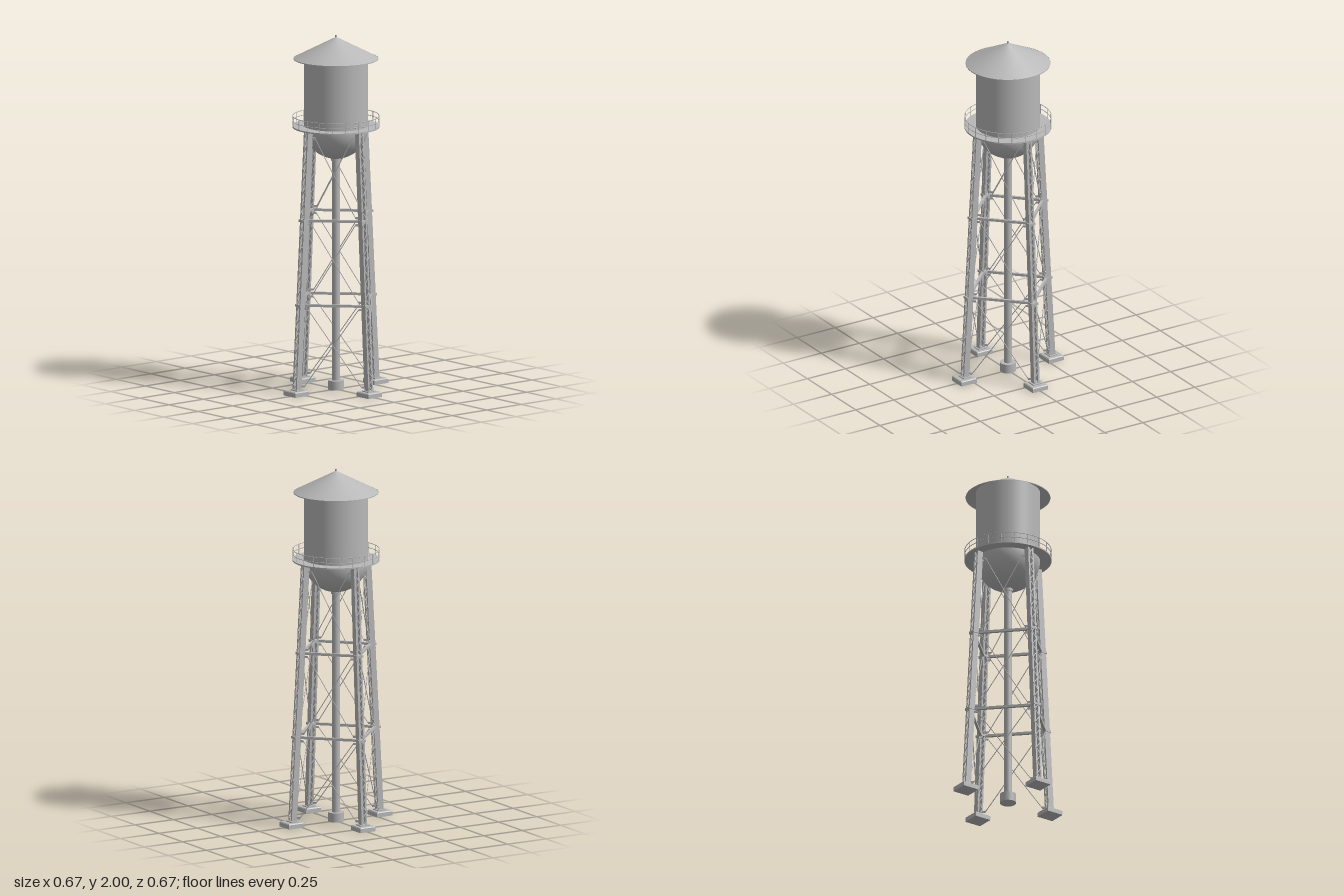
import * as THREE from 'three';
import { mergeGeometries } from 'three/addons/utils/BufferGeometryUtils.js';

const V = (x, y, z) => new THREE.Vector3(x, y, z);
const UP = V(0, 1, 0);
const LEG_FOOT = V(0.283, 0.025, 0), LEG_TOP = V(0.2, 1.48, 0);

// Centre of a leg at height y, on quarter q of the tower
function legPoint(y, q) {
  const t = (y - LEG_FOOT.y) / (LEG_TOP.y - LEG_FOOT.y);
  return LEG_FOOT.clone().lerp(LEG_TOP, t).setY(y).applyAxisAngle(UP, q * Math.PI / 2);
}

// Moves a y-aligned geometry so that it spans a to b
function span(geo, a, b) {
  const dir = b.clone().sub(a).normalize();
  geo.applyQuaternion(new THREE.Quaternion().setFromUnitVectors(UP, dir));
  const mid = a.clone().add(b).multiplyScalar(0.5);
  return geo.translate(mid.x, mid.y, mid.z);
}
const rod = (a, b, r, sides = 6) => span(new THREE.CylinderGeometry(r, r, a.distanceTo(b), sides), a, b);

// Horizontal beam with its sides kept upright
function beam(a, b, height, depth) {
  const d = b.clone().sub(a), mid = a.clone().add(b).multiplyScalar(0.5);
  return new THREE.BoxGeometry(d.length(), height, depth)
    .rotateY(Math.atan2(-d.z, d.x)).translate(mid.x, mid.y, mid.z);
}

export function createModel() {
  const model = new THREE.Group();
  model.name = 'waterTower';
  const steel = new THREE.MeshStandardMaterial({ color: 0xb8b8b8, side: THREE.DoubleSide });
  steel.name = 'grey steel';
  const add = (name, geo, parent = model) => {
    const mesh = new THREE.Mesh(geo, steel);
    mesh.name = name;
    parent.add(mesh);
    return mesh;
  };

  // Tank: round bowl running into a straight wall
  const R = 0.178, bowlY = 1.482;
  const tank = [];
  for (let i = 0; i <= 14; i++) {
    const a = i / 14 * Math.PI / 2;
    tank.push(new THREE.Vector2(Math.sin(a) * R, bowlY - Math.cos(a) * R));
  }
  tank.push(new THREE.Vector2(R, 1.6), new THREE.Vector2(R, 1.896));
  add('tank', new THREE.LatheGeometry(tank, 64));

  // Hollow conical roof with a thin rim and a small finial
  add('roof', new THREE.CylinderGeometry(0.003, 0.235, 0.12, 64, 1, true).translate(0, 1.929, 0));
  add('roofRim', new THREE.CylinderGeometry(0.235, 0.235, 0.005, 64, 1, true).translate(0, 1.8675, 0));
  add('finial', new THREE.CylinderGeometry(0.005, 0.005, 0.018, 12).translate(0, 1.991, 0));

  // Walkway ring
  const ring = new THREE.Shape().absarc(0, 0, 0.242, 0, Math.PI * 2);
  ring.holes.push(new THREE.Path().absarc(0, 0, R - 0.002, 0, Math.PI * 2, true));
  add('walkway', new THREE.ExtrudeGeometry(ring, { depth: 0.008, bevelEnabled: false, curveSegments: 48 })
    .rotateX(-Math.PI / 2).translate(0, 1.481, 0));

  // Handrail hoops and posts
  const rails = [1.517, 1.545].map(y =>
    new THREE.TorusGeometry(0.24, 0.002, 6, 64).rotateX(Math.PI / 2).translate(0, y, 0));
  for (let i = 0; i < 20; i++) {
    const a = (i + 0.5) / 20 * Math.PI * 2, x = Math.cos(a) * 0.24, z = Math.sin(a) * 0.24;
    rails.push(rod(V(x, 1.485, z), V(x, 1.545, z), 0.002));
  }
  add('handrail', mergeGeometries(rails));

  // Central riser pipe, its collar and base
  add('riserPipe', new THREE.CylinderGeometry(0.022, 0.022, 1.28, 24).translate(0, 0.67, 0));
  add('riserCollar', new THREE.CylinderGeometry(0.028, 0.028, 0.02, 24).translate(0, 1.302, 0));
  add('riserBase', new THREE.CylinderGeometry(0.045, 0.045, 0.052, 32).translate(0, 0.026, 0));

  // One leg in its own frame: x outwards, y along the leg
  const length = LEG_FOOT.distanceTo(LEG_TOP);
  const channel = new THREE.Shape();
  [[-0.0175, 0.018], [0.0175, 0.018], [0.0175, 0.008], [0.0145, 0.008],
    [0.0145, 0.015], [-0.0145, 0.015], [-0.0145, 0.008], [-0.0175, 0.008]]
    .forEach(([x, y], i) => (i ? channel.lineTo(x, y) : channel.moveTo(x, y)));
  const channelGeo = new THREE.ExtrudeGeometry(channel, { depth: length, bevelEnabled: false })
    .rotateX(-Math.PI / 2);
  const laces = [], steps = 36;
  for (const x of [-0.0185, 0.0185]) {
    for (let i = 0; i < steps; i++) {
      const s = i % 2 ? 1 : -1;
      const a = V(x, i / steps * length, s * 0.014), b = V(x, (i + 1) / steps * length, -s * 0.014);
      laces.push(span(new THREE.BoxGeometry(0.002, a.distanceTo(b), 0.005), a, b));
    }
  }
  const laceGeo = mergeGeometries(laces);

  // Footing block with a chamfered top
  const chamfer = new THREE.CylinderGeometry(0.046 * Math.SQRT2, 0.05 * Math.SQRT2, 0.005, 4)
    .rotateY(Math.PI / 4).toNonIndexed();
  chamfer.computeVertexNormals();
  const footing = mergeGeometries([
    new THREE.BoxGeometry(0.1, 0.023, 0.1).toNonIndexed().translate(0, 0.0115, 0),
    chamfer.translate(0, 0.0255, 0)]).translate(0.287, 0, 0);

  for (let q = 0; q < 4; q++) {
    const corner = new THREE.Group();
    corner.name = 'legAssembly';
    corner.rotation.y = q * Math.PI / 2;
    model.add(corner);
    add('footing', footing, corner);
    add('basePlate', new THREE.BoxGeometry(0.05, 0.006, 0.056).translate(0.283, 0.031, 0), corner);
    const leg = new THREE.Group();
    leg.name = 'leg';
    leg.position.copy(LEG_FOOT);
    leg.quaternion.setFromUnitVectors(UP, LEG_TOP.clone().sub(LEG_FOOT).normalize());
    corner.add(leg);
    add('channelLeft', channelGeo, leg);
    add('channelRight', channelGeo, leg).rotation.y = Math.PI;
    add('lacing', laceGeo, leg);
    // Plate tying the leg head to the tank
    add('headPlate', new THREE.BoxGeometry(0.04, 0.05, 0.012).translate(0.187, 1.455, 0), corner);
    for (const y of [0.505, 0.98]) {
      const p = legPoint(y, 0);
      add('strutCollar', new THREE.BoxGeometry(0.046, 0.014, 0.044).translate(p.x, y, 0), corner);
    }
  }

  // Struts and crossed tie rods on each of the four faces
  const levels = [[0.05, 0.485], [0.525, 0.96], [1.0, 1.44]];
  for (let q = 0; q < 4; q++) {
    const face = new THREE.Group();
    face.name = 'bracing';
    model.add(face);
    for (const y of [0.505, 0.98]) {
      add('strut', beam(legPoint(y, q), legPoint(y, q + 1), 0.014, 0.014), face);
    }
    const rods = [];
    for (const [low, high] of levels) {
      for (const [from, to] of [[q, q + 1], [q + 1, q]]) {
        const a = legPoint(low, from), b = legPoint(high, to);
        const dir = b.clone().sub(a).setY(0).normalize();
        const a2 = a.clone().addScaledVector(dir, 0.04), b2 = b.clone().addScaledVector(dir, -0.04);
        rods.push(rod(a2, b2, 0.0025),
          beam(a.addScaledVector(dir, 0.015), a2, 0.012, 0.004),
          beam(b.addScaledVector(dir, -0.015), b2, 0.012, 0.004));
      }
    }
    add('tieRods', mergeGeometries(rods), face);
  }
  return model;
}
